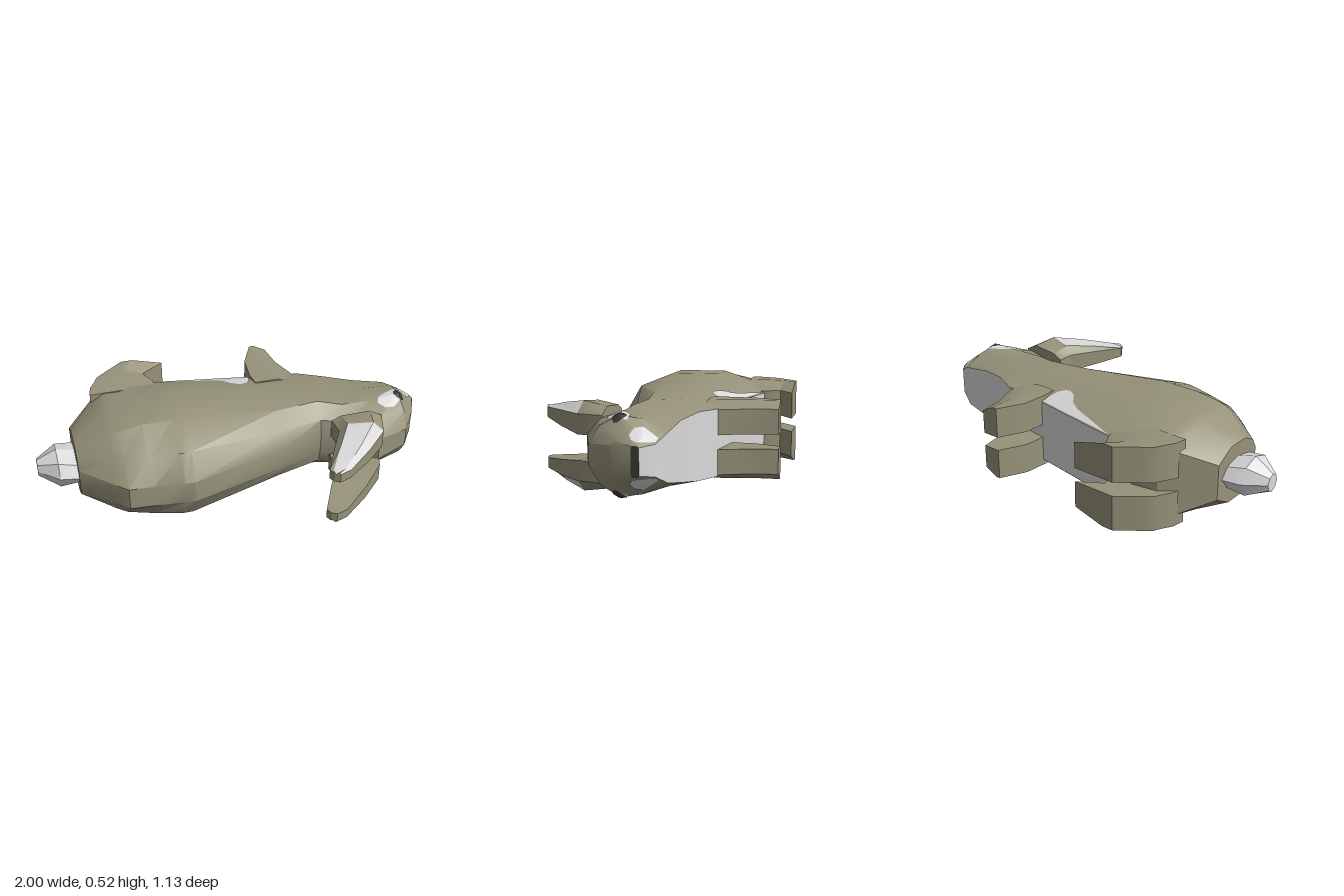
import * as THREE from 'three';
import { toCreasedNormals } from 'three/addons/utils/BufferGeometryUtils.js';

// The rabbit lies on its flank: nose to +x, back to +z, its width runs along y.
const MID = 0.265;

const fur = new THREE.MeshStandardMaterial({ color: 0x96927a });
fur.name = 'oliveFur';
const pale = new THREE.MeshStandardMaterial({ color: 0xdadada, side: THREE.DoubleSide });
pale.name = 'paleFur';
const dark = new THREE.MeshStandardMaterial({ color: 0x3a3a35, side: THREE.DoubleSide });
dark.name = 'darkEyeAndNose';
const palette = [fur, pale, dark];

// Skin closed rings of [x, halfWidth, z]; pick(ring, edge) gives a palette index, ring -1 / n-1 are the caps
function loft(name, rings, pick = () => 0, crease = 0.5) {
  const n = rings[0].length;
  const last = rings.length - 1;
  const points = rings.flat().map(([x, h, z]) => new THREE.Vector3(x, MID + h, z));
  const faces = [];
  for (let r = 0; r < last; r++) {
    for (let e = 0; e < n; e++) {
      const a = r * n + e, b = r * n + (e + 1) % n;
      faces.push([pick(r, e), a, b, b + n], [pick(r, e), a, b + n, a + n]);
    }
  }
  for (let e = 1; e < n - 1; e++) {
    faces.push([pick(-1, e), 0, e + 1, e]);
    faces.push([pick(last, e), last * n, last * n + e, last * n + e + 1]);
  }
  // Turn all faces outward
  const origin = points[0];
  let volume = 0;
  for (const [, a, b, c] of faces) {
    const u = points[a].clone().sub(origin), v = points[b].clone().sub(origin);
    volume += u.dot(v.cross(points[c].clone().sub(origin)));
  }
  const geometry = new THREE.BufferGeometry().setFromPoints(points);
  const index = [];
  palette.forEach((m, i) => {
    const start = index.length;
    for (const [k, a, b, c] of faces) {
      if (k === i) index.push(...(volume > 0 ? [a, b, c] : [a, c, b]));
    }
    if (index.length > start) geometry.addGroup(start, index.length - start, i);
  });
  geometry.setIndex(index);
  const mesh = new THREE.Mesh(toCreasedNormals(geometry, crease), palette);
  mesh.name = name;
  return mesh;
}

// Thin painted patch: outline of [x, z] around a centre, dropped onto the body's flank
function patch(name, body, material, centre, outline, side, lift) {
  const ray = new THREE.Raycaster();
  const path = [];
  outline.forEach(([x, z], i) => {
    const [x2, z2] = outline[(i + 1) % outline.length];
    for (let k = 0; k < 4; k++) path.push([x + (x2 - x) * k / 4, z + (z2 - z) * k / 4]);
  });
  const points = [], index = [], rows = 8, n = path.length;
  let height = 0.15;
  for (let r = 0; r <= rows; r++) {
    for (const [px, pz] of path) {
      const x = centre[0] + (px - centre[0]) * r / rows;
      const z = centre[1] + (pz - centre[1]) * r / rows;
      ray.set(new THREE.Vector3(x, 2, z), new THREE.Vector3(0, -1, 0));
      const hit = ray.intersectObject(body)[0];
      if (hit) height = hit.point.y - MID + lift;
      points.push(new THREE.Vector3(x, MID + side * height, z));
    }
  }
  for (let r = 0; r < rows; r++) {
    for (let e = 0; e < n; e++) {
      const a = r * n + e, b = r * n + (e + 1) % n;
      index.push(a, b, b + n, a, b + n, a + n);
    }
  }
  const geometry = new THREE.BufferGeometry().setFromPoints(points);
  geometry.setIndex(index);
  const mesh = new THREE.Mesh(toCreasedNormals(geometry, 0.5), material);
  mesh.name = name;
  return mesh;
}

function oval(cx, cz, rx, rz) {
  return Array.from({ length: 10 }, (_, i) => {
    const a = i * Math.PI / 5;
    return [cx + rx * Math.cos(a), cz + rz * Math.sin(a)];
  });
}

export function createModel() {
  const group = new THREE.Group();
  group.name = 'rabbit';

  // Body and head: x, then [halfWidth, z] from the spine down to the belly edge
  const stations = [
    [-0.81, [0.06, 0.10], [0.11, 0.07], [0.145, 0], [0.145, -0.12], [0.09, -0.22]],
    [-0.65, [0.06, 0.26], [0.16, 0.17], [0.232, 0.08], [0.232, -0.14], [0.17, -0.36]],
    [-0.60, [0.06, 0.305], [0.17, 0.20], [0.243, 0.085], [0.243, -0.16], [0.19, -0.40]],
    [-0.48, [0.06, 0.315], [0.18, 0.23], [0.262, 0.08], [0.262, -0.17], [0.18, -0.42]],
    [-0.33, [0.06, 0.33], [0.19, 0.26], [0.262, 0.08], [0.262, -0.17], [0.16, -0.408]],
    [-0.28, [0.06, 0.335], [0.19, 0.26], [0.262, 0.08], [0.262, -0.17], [0.16, -0.40]],
    [0.20, [0.06, 0.20], [0.14, 0.16], [0.205, 0.07], [0.205, -0.14], [0.16, -0.315]],
    [0.43, [0.06, 0.13], [0.13, 0.11], [0.2, 0.04], [0.2, -0.10], [0.16, -0.285]],
    [0.55, [0.06, 0.18], [0.13, 0.16], [0.185, 0.08], [0.185, -0.08], [0.16, -0.225]],
    [0.70, [0.065, 0.26], [0.14, 0.20], [0.18, 0.08], [0.175, -0.04], [0.14, -0.175]],
    [0.87, [0.05, 0.20], [0.13, 0.15], [0.18, 0.06], [0.165, -0.04], [0.11, -0.155]],
    [0.95, [0.06, 0.08], [0.08, 0.06], [0.105, 0.01], [0.10, -0.06], [0.07, -0.12]],
    [1.00, [0.06, -0.025], [0.064, -0.03], [0.065, -0.04], [0.065, -0.05], [0.06, -0.06]],
  ];
  const rings = stations.map(([x, ...half]) => [
    ...half.map(([h, z]) => [x, h, z]),
    ...half.slice().reverse().map(([h, z]) => [x, -h, z]),
  ]);
  const end = stations.length - 1;
  const body = loft('body', rings, (r, e) => (r === end ? 2 : r >= 4 && e === 4 ? 1 : 0));
  group.add(body);

  // Tail: x, centre z, half width, half depth
  const tail = [
    [-0.79, -0.05, 0.07, 0.14], [-0.90, -0.05, 0.10, 0.12], [-1.0, -0.06, 0.045, 0.04],
  ].map(([x, cz, w, d]) => Array.from({ length: 8 }, (_, i) => {
    const a = i * Math.PI / 4;
    return [x, w * Math.cos(a), cz + d * Math.sin(a)];
  }));
  group.add(loft('tail', tail, () => 1));

  // Legs: z, rear x, outer ridge x, front x
  const frontLeg = [
    [-0.22, 0.18, 0.30, 0.43], [-0.30, 0.17, 0.30, 0.405],
    [-0.43, 0.18, 0.27, 0.355], [-0.565, 0.245, 0.27, 0.335],
  ];
  const hindLeg = [
    [-0.30, -0.68, -0.50, -0.33], [-0.36, -0.67, -0.50, -0.33], [-0.41, -0.64, -0.50, -0.33],
    [-0.45, -0.62, -0.49, -0.35], [-0.49, -0.57, -0.48, -0.37], [-0.565, -0.47, -0.41, -0.25],
  ];
  const legRings = (rows, s, outer, bevel) => rows.map(([z, rear, ridge, front]) => [
    [rear, s * 0.035, z], [front, s * 0.035, z], [front, s * bevel, z],
    [ridge, s * outer, z], [rear, s * outer, z],
  ]);

  // Ears: front and rear corner [x, z], inner, front and outer half widths
  const ears = [
    [[0.73, 0.18], [0.47, 0.16], 0.06, 0.155, 0.19],
    [[0.69, 0.31], [0.475, 0.25], 0.06, 0.155, 0.21],
    [[0.57, 0.43], [0.40, 0.385], 0.08, 0.155, 0.187],
    [[0.43, 0.545], [0.33, 0.52], 0.10, 0.15, 0.157],
    [[0.37, 0.565], [0.345, 0.55], 0.10, 0.15, 0.155],
  ];

  for (const s of [1, -1]) {
    const side = s > 0 ? 'Upper' : 'Lower';
    group.add(loft('frontLeg' + side, legRings(frontLeg, s, 0.19, 0.155)));
    group.add(loft('hindLeg' + side, legRings(hindLeg, s, 0.215, 0.17)));

    const earRings = ears.map(([f, b, inner, edge, outer]) => {
      const at = (t, h) => [b[0] + (f[0] - b[0]) * t, s * h, b[1] + (f[1] - b[1]) * t];
      return [at(0, inner), at(1, inner), at(1, edge), at(0.75, outer), at(0.18, outer - 0.01), at(0, edge)];
    });
    group.add(loft('ear' + side, earRings, (r, e) => (r >= 1 && r < 4 && (e === 2 || e === 3) ? 1 : 0)));

    // Pale flank, muzzle and eye markings, dark eye
    group.add(patch('flankMarking' + side, body, pale, [0.09, -0.30], [
      [-0.31, -0.40], [-0.05, -0.31], [0, -0.28], [0.04, -0.23], [0.08, -0.207], [0.11, -0.207],
      [0.14, -0.225], [0.16, -0.27], [0.165, -0.317], [-0.05, -0.355],
    ], s, 0.003));
    group.add(patch('muzzleMarking' + side, body, pale, [0.945, -0.07], [
      [0.905, -0.06], [0.92, -0.02], [0.95, -0.005], [0.975, -0.02], [0.985, -0.05],
      [0.965, -0.085], [0.945, -0.118], [0.92, -0.125],
    ], s, 0.003));
    group.add(patch('eyeMarking' + side, body, pale, [0.81, 0.07], [
      [0.74, 0.10], [0.76, 0.06], [0.81, 0.03], [0.86, 0.01], [0.89, 0.02], [0.89, 0.06],
      [0.86, 0.10], [0.82, 0.13], [0.77, 0.135],
    ], s, 0.003));
    group.add(patch('eye' + side, body, dark, [0.87, 0.06], oval(0.87, 0.06, 0.028, 0.032), s, 0.006));
  }
  return group;
}
